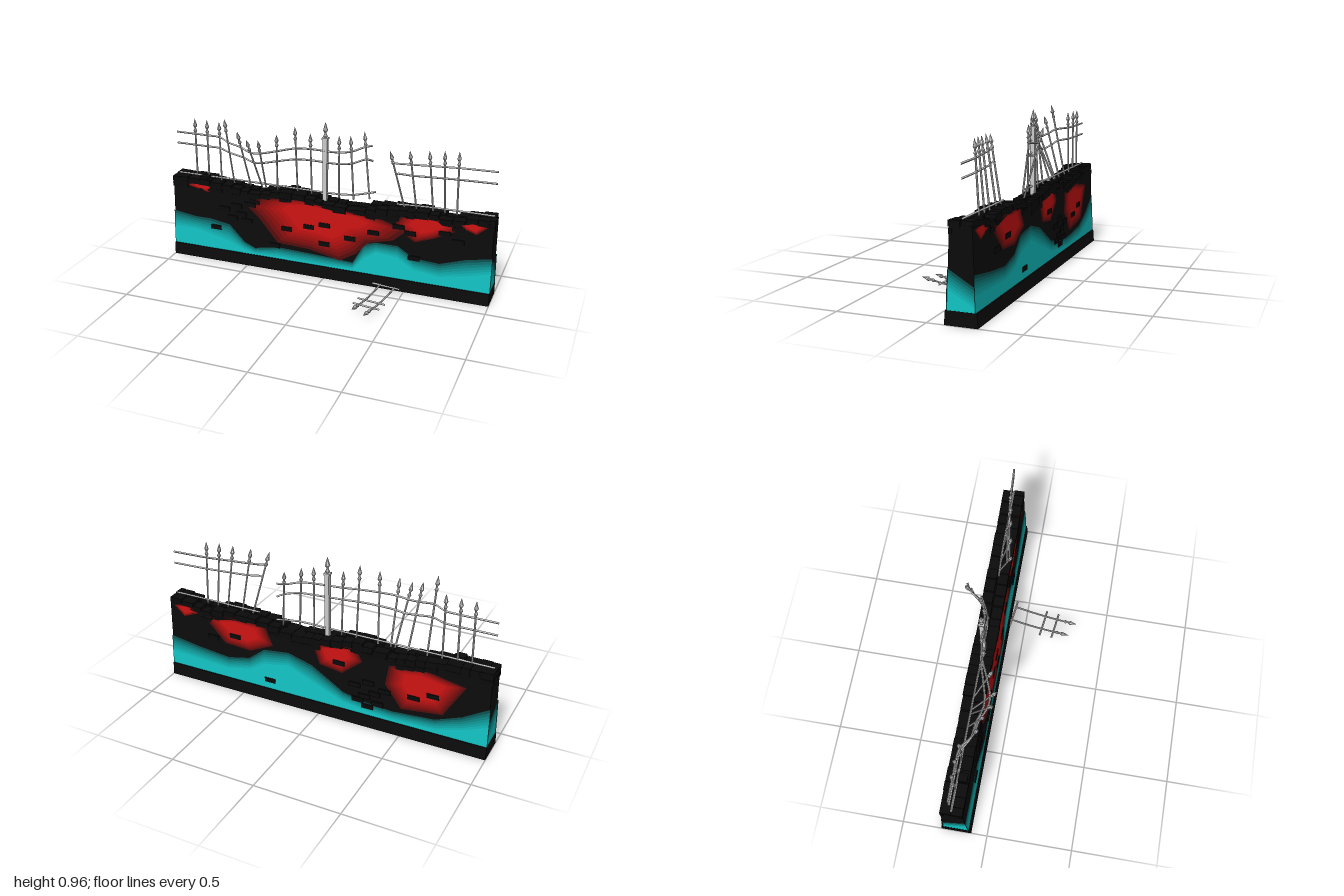
import * as THREE from 'three';

const BLACK = 0x0b0b0b, CYAN = 0x12c4c4, RED = 0xcc1212;
const ZC = -0.183; // centre plane of the wall
const mat = (color, side = THREE.FrontSide) => new THREE.MeshStandardMaterial({ color, side, flatShading: true });
const iron = mat(0xcccccc), stone = mat(BLACK);
const V = (x, y, z) => new THREE.Vector3(x, y, z);
const unitBox = new THREE.BoxGeometry(1, 1, 1);

// half thickness of the tapering wall at height y
const half = y => 0.0745 - (y - 0.075) * 0.035;

let seed = 7;
const rnd = () => (seed = (seed * 16807) % 2147483647) / 2147483647;

function interp(table, x) {
  for (let i = 1; i < table.length; i++) {
    const [x0, y0] = table[i - 1], [x1, y1] = table[i];
    if (x <= x1) return y0 + (y1 - y0) * Math.max(0, (x - x0) / (x1 - x0));
  }
  return table[table.length - 1][1];
}

function add(parent, name, geometry, material) {
  const m = new THREE.Mesh(geometry, material);
  m.name = name;
  parent.add(m);
  return m;
}

function block(parent, name, x, y, z, w, h, d, tilt = 0) {
  const m = add(parent, name, unitBox, stone);
  m.position.set(x, y, z);
  m.scale.set(w, h, d);
  m.rotation.z = tilt;
}

const shapeOf = pts => new THREE.Shape(pts.map(p => new THREE.Vector2(p[0], p[1])));

// Thin colour patch lying on the front (side 1) or back (side -1) face
function patch(parent, name, pts, side, lift, color) {
  const g = new THREE.ShapeGeometry(shapeOf(pts));
  const p = g.attributes.position;
  for (let i = 0; i < p.count; i++) p.setZ(i, ZC + side * (half(p.getY(i)) + lift));
  g.computeVertexNormals();
  return add(parent, name, g, mat(color, THREE.DoubleSide));
}

const LAYERS = 7;
const shade = (color, k) => new THREE.Color(BLACK).lerp(new THREE.Color(color), k / LAYERS);

// Cyan band fading to black: rows of [x, fade end, fade start]
function cyanBand(parent, rows, side) {
  for (let k = 1; k <= LAYERS; k++) {
    const t = (k - 1) / (LAYERS - 1);
    const top = rows.map(([x, hi, lo]) => [x, hi + (lo - hi) * t]);
    patch(parent, 'cyanBand', [[-1, 0.07], [1, 0.07], ...top.reverse()], side, k * 0.0005, shade(CYAN, k));
  }
}

// Red patch fading outward from an anchor point
function redPatch(parent, pts, [ax, ay], side) {
  for (let k = 1; k <= LAYERS; k++) {
    const s = 1 - 0.45 * (k - 1) / (LAYERS - 1);
    patch(parent, 'redPatch', pts.map(([x, y]) => [ax + (x - ax) * s, ay + (y - ay) * s]), side, 0.0005 * k, shade(RED, k));
  }
}

const topLine = [[-1, .515], [-.8, .515], [-.65, .5], [-.5, .475], [-.42, .465], [-.33, .495], [-.2, .51], [-.08, .48],
  [.05, .465], [.2, .455], [.32, .49], [.45, .5], [.62, .505], [.75, .475], [.88, .505], [1, .515]];

function buildWall() {
  const wall = new THREE.Group();
  wall.name = 'wall';

  // Tapered core with a sagging top
  const outline = [[-0.995, 0.07], [0.995, 0.07], ...topLine.map(([x, y]) => [x * 0.995, y - 0.02]).reverse()];
  const core = new THREE.ExtrudeGeometry(shapeOf(outline), { depth: 2, bevelEnabled: false });
  const p = core.attributes.position;
  for (let i = 0; i < p.count; i++) p.setZ(i, ZC + (p.getZ(i) - 1) * half(p.getY(i)));
  core.computeVertexNormals();
  add(wall, 'wallCore', core, stone);

  // Colour on the front
  cyanBand(wall, [[-1, .29, .19], [-.85, .27, .19], [-.75, .27, .17], [-.62, .25, .14], [-.52, .15, .1], [-.45, .12, .085],
    [-.3, .15, .09], [0, .14, .085], [.18, .13, .09], [.25, .26, .17], [.32, .28, .22], [.45, .28, .21], [.55, .22, .15],
    [.7, .21, .13], [.85, .26, .16], [1, .29, .2]], 1);
  redPatch(wall, [[-.5, .39], [-.42, .32], [-.3, .18], [-.1, .17], [.1, .13], [.2, .19], [.27, .27], [.42, .31], [.5, .38],
    [.35, .43], [.2, .44], [0, .46], [-.2, .48], [-.42, .45]], [0, .42], 1);
  redPatch(wall, [[.42, .4], [.55, .32], [.66, .36], [.8, .43], [.72, .48], [.48, .49]], [.62, .45], 1);
  redPatch(wall, [[-.9, .47], [-.76, .44], [-.7, .48], [-.85, .5]], [-.8, .48], 1);
  redPatch(wall, [[.78, .46], [.9, .42], [.96, .47], [.88, .49]], [.88, .47], 1);

  // Colour on the back
  cyanBand(wall, [[-1, .31, .2], [-.85, .22, .14], [-.7, .16, .1], [-.45, .14, .09], [-.3, .15, .1], [-.15, .18, .12],
    [.05, .3, .2], [.2, .34, .26], [.36, .32, .23], [.46, .24, .17], [.6, .21, .14], [.8, .23, .15], [1, .26, .16]], -1);
  redPatch(wall, [[.3, .36], [.45, .29], [.62, .3], [.76, .44], [.6, .48], [.35, .47]], [.5, .42], -1);
  redPatch(wall, [[-.26, .4], [-.14, .3], [0, .32], [.04, .43], [-.08, .46], [-.22, .48]], [-.1, .42], -1);
  redPatch(wall, [[-.86, .4], [-.74, .2], [-.5, .17], [-.4, .3], [-.42, .42], [-.6, .45]], [-.62, .36], -1);
  redPatch(wall, [[.8, .45], [.9, .41], [.97, .47], [.88, .49]], [.89, .46], -1);

  // Colour on both ends
  for (const sx of [1, -1]) for (let k = 1; k <= LAYERS; k++) {
    const drop = 0.1 * (k - 1) / (LAYERS - 1), a = 0.28 - drop, b = 0.26 - drop;
    const g = new THREE.ShapeGeometry(shapeOf([[-half(.07), .07], [half(.07), .07], [half(b), b - 0.06], [-half(a), a]]));
    const m = add(wall, 'endPatch', g, mat(shade(CYAN, k), THREE.DoubleSide));
    m.rotation.y = Math.PI / 2;
    m.position.set(sx * (0.995 + k * 0.0005), 0, ZC);
  }

  // Loose coping stones in two rows, with rough bricks under them
  for (const side of [1, -1]) {
    for (let x = -1; x < 0.97;) {
      const w = Math.min(0.045 + rnd() * 0.04, 1 - x), cx = x + w / 2, y = interp(topLine, cx);
      const h = 0.03 + rnd() * 0.015;
      block(wall, 'copingStone', cx, y - h / 2 + 0.006 * rnd(), ZC + side * (0.031 + rnd() * 0.004), w * 0.97, h, 0.062, (rnd() - 0.5) * 0.08);
      if (rnd() > 0.5) block(wall, 'roughBrick', cx, y - 0.05, ZC + side * (half(y) - 0.006), w, 0.026, 0.02);
      x += w;
    }
  }
  block(wall, 'topStone', -0.79, 0.522, ZC + 0.03, 0.05, 0.025, 0.05);

  // Bricks standing out of the faces
  const front = [[-.24, .28], [-.1, .315], [0, .34], [0, .22], [.16, .28], [-.71, .22], [.55, .22], [-.32, .16], [.3, .34],
    [-.6, .3], [-.54, .33], [-.65, .35], [-.5, .29], [-.57, .38], [-.48, .4], [.45, .4], [.52, .37], [.72, .4], [.8, .36]];
  const back = [[.32, .13], [-.57, .26], [-.68, .3], [-.3, .13], [-.36, .16], [-.28, .19], [-.34, .22], [-.4, .25],
    [-.3, .28], [-.24, .16], [-.22, .25], [.55, .36], [-.12, .36], [.7, .32]];
  for (const [list, side] of [[front, 1], [back, -1]])
    for (const [x, y] of list) block(wall, 'faceBrick', x, y, ZC + side * (half(y) - 0.003), 0.07, 0.028, 0.02);
  return wall;
}

function buildBase() {
  const base = new THREE.Group();
  base.name = 'base';
  // Hollow plinth, slightly battered, with two cross pieces
  const rect = (w, d) => [[-w, -d], [w, -d], [w, d], [-w, d]];
  const ring = shapeOf(rect(1, 0.089));
  ring.holes.push(shapeOf(rect(0.98, 0.072)));
  const g = new THREE.ExtrudeGeometry(ring, { depth: 0.075, bevelEnabled: false }).rotateX(-Math.PI / 2);
  const p = g.attributes.position;
  for (let i = 0; i < p.count; i++) p.setZ(i, p.getZ(i) * (1 - p.getY(i) * 0.9));
  g.computeVertexNormals();
  add(base, 'plinth', g, stone).position.z = ZC;
  for (const x of [-0.34, 0.33]) block(base, 'crossPiece', x, 0.037, ZC, 0.045, 0.07, 0.15);
  const floor = add(base, 'underside', new THREE.PlaneGeometry(1.96, 0.146), mat(CYAN, THREE.DoubleSide));
  floor.rotation.x = Math.PI / 2;
  floor.position.set(0, 0.068, ZC);
  return base;
}

const spear = new THREE.LatheGeometry([[0, 0], [.007, 0], [.011, .01], [.006, .02], [.005, .028], [.0125, .04], [0, .085]]
  .map(q => new THREE.Vector2(q[0], q[1])), 6);

const bar = (parent, name, pts, r = 0.0055, sides = 6) =>
  add(parent, name, new THREE.TubeGeometry(new THREE.CatmullRomCurve3(pts), pts.length * 4, r, sides), iron);

// Bar along the points, ending in a spear head at the last point
function picket(parent, pts) {
  const tip = pts[pts.length - 1], dir = tip.clone().sub(pts[pts.length - 2]).normalize();
  const neck = tip.clone().addScaledVector(dir, -0.083);
  bar(parent, 'picket', [...pts.slice(0, -1), neck]);
  const head = add(parent, 'spearHead', spear, iron);
  head.position.copy(neck);
  head.quaternion.setFromUnitVectors(V(0, 1, 0), dir);
}

// Fence run from rows of [base x, base z, tip x, tip y, tip z, top rail y]
function fenceRun(name, rows, start, end, bottom) {
  const run = new THREE.Group();
  run.name = name;
  for (const [bx, bz, tx, ty, tz] of rows) picket(run, [V(bx, 0.5, bz), V((bx + tx) / 2, (ty + 0.5) / 2, (bz + tz) / 2), V(tx, ty, tz)]);
  for (const [i, drop] of [[0, 0], [1, 0.07]]) {
    const pts = rows.map(([bx, bz, tx, ty, tz, ry]) => {
      const y = ry - drop, t = (y - 0.5) / (ty - 0.5);
      return V(bx + (tx - bx) * t, y, bz + (tz - bz) * t);
    });
    bar(run, i ? 'middleRail' : 'topRail', [start[i], ...pts, end[i]], 0.006, 4);
  }
  bar(run, 'bottomRail', bottom, 0.006, 4);
  return run;
}

export function createModel() {
  const model = new THREE.Group();
  model.add(buildBase(), buildWall());

  // Long dented run, curling backward at its broken end
  model.add(fenceRun('leftFence', [
    [-.86, ZC, -.86, .88, ZC, .785], [-.78, ZC, -.78, .88, ZC, .785], [-.695, ZC, -.695, .88, -.175, .785],
    [-.61, ZC, -.617, .93, -.09, .78], [-.5, ZC, -.53, .87, -.075, .765], [-.425, ZC, -.457, .84, -.04, .75],
    [-.4, ZC, -.38, .845, -.035, .755], [-.325, ZC, -.28, .88, -.075, .77], [-.195, ZC, -.19, .92, -.135, .785],
    [-.105, ZC, -.107, .88, -.165, .785], [.065, ZC, .063, .88, -.185, .78], [.155, -.185, .12, .875, -.22, .785],
    [.24, -.225, .175, .88, -.31, .795]],
    [V(-.985, .785, ZC), V(-.985, .715, ZC)], [V(.225, .80, -.31), V(.235, .712, -.295)],
    [V(-.985, .522, ZC), V(-.4, .522, ZC), V(.05, .522, ZC), V(.15, .527, -.19), V(.27, .54, -.25)]));

  // Short run leaning forward at its broken end
  model.add(fenceRun('rightFence', [
    [.465, -.178, .395, .86, -.09, .79], [.535, -.18, .502, .87, -.11, .785], [.632, ZC, .608, .875, -.13, .785],
    [.70, ZC, .69, .88, -.145, .785], [.77, ZC, .768, .88, -.16, .785]],
    [V(.40, .80, -.105), V(.42, .715, -.125)], [V(.985, .785, -.18), V(.985, .715, ZC)],
    [V(.42, .515, -.175), V(.6, .52, ZC), V(.8, .522, ZC), V(.985, .522, ZC)]));

  // Square post with its own larger spear head
  const post = new THREE.Group();
  post.name = 'post';
  add(post, 'postShaft', new THREE.BoxGeometry(0.026, 0.41, 0.026), iron).position.y = 0.655;
  add(post, 'postCap', new THREE.BoxGeometry(0.034, 0.012, 0.034), iron).position.y = 0.856;
  const head = add(post, 'spearHead', spear, iron);
  head.position.y = 0.86;
  head.scale.set(1.2, 1.13, 1.2);
  post.position.set(-0.02, 0, ZC);
  model.add(post);

  // Broken panel lying on the ground in front
  const fallen = new THREE.Group();
  fallen.name = 'fallenPanel';
  for (const [x0, z0, x1, z1] of [[.36, -.1, .308, .28], [.45, -.085, .388, .32]])
    picket(fallen, [[0, .024], [.35, .017], [.65, .023], [.8, .031], [1, .042]]
      .map(([t, y]) => V(x0 + (x1 - x0) * t, y, z0 + (z1 - z0) * t)));
  for (const [x0, x1, z, y] of [[.31, .485, -.085, .024], [.285, .455, .11, .018], [.28, .445, .185, .024]])
    bar(fallen, 'fallenRail', [V(x0, y, z - 0.01), V((x0 + x1) / 2, y, z + 0.002), V(x1, y, z + 0.013)], 0.006, 4);
  model.add(fallen);
  return model;
}
